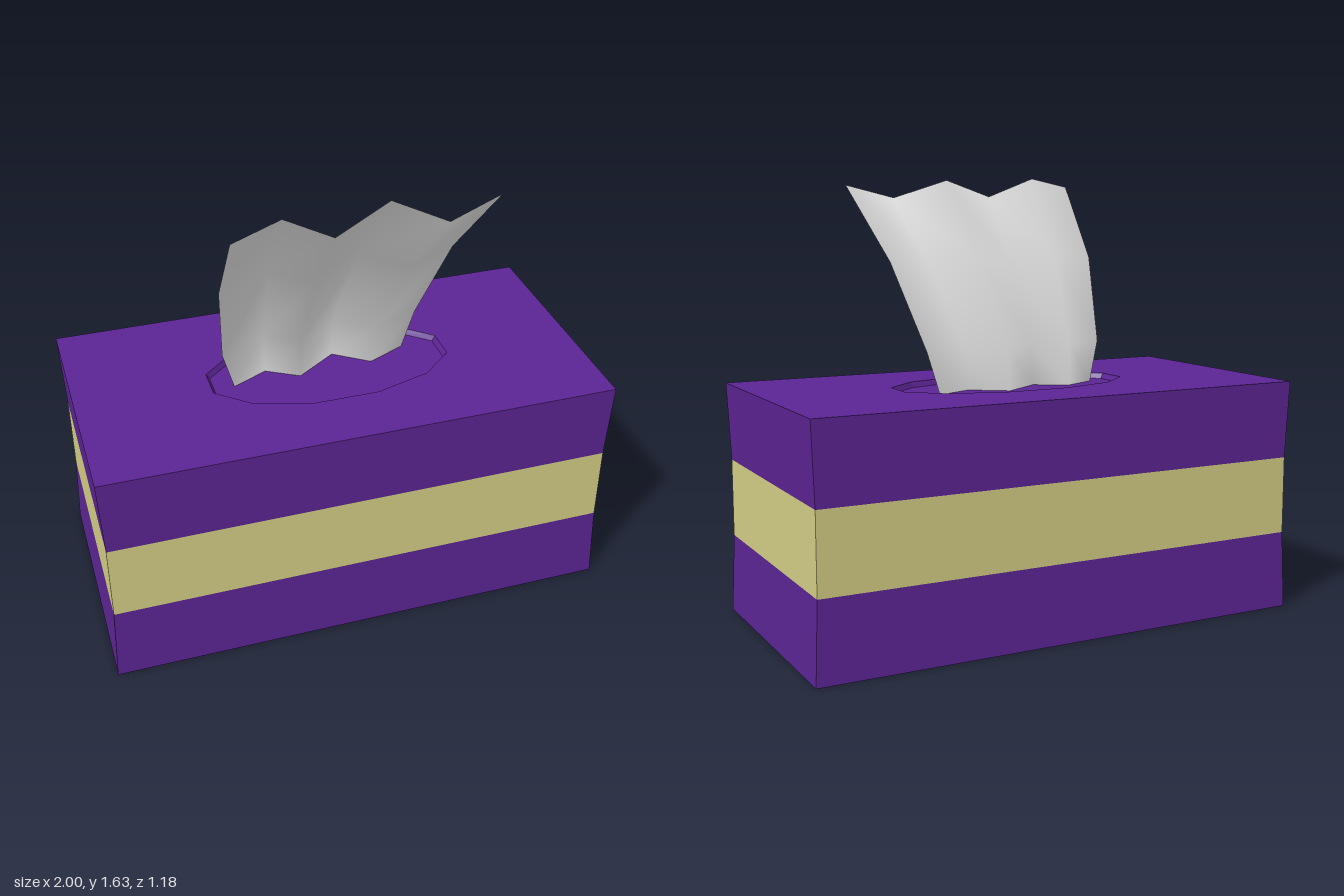
import * as THREE from 'three';

const HEIGHT = 0.875, RECESS = 0.02;

const material = (name, color, side = THREE.FrontSide) =>
  Object.assign(new THREE.MeshStandardMaterial({ color, side }), { name });

// Rings are lists of Vector2 (x, -z), counterclockwise from above
const rect = (hx, hz) => [[-1, -1], [1, -1], [1, 1], [-1, 1]]
  .map(([x, y]) => new THREE.Vector2(x * hx, y * hz));

const oval = (a, b) => Array.from({ length: 12 }, (_, i) => {
  const t = (i + 0.5) * Math.PI / 6;
  return new THREE.Vector2(a * Math.cos(t), b * Math.sin(t));
});

// Flat-shaded wall between two rings at different heights
function wall(ringA, yA, ringB, yB) {
  const pos = [];
  ringA.forEach((a, i) => {
    const j = (i + 1) % ringA.length;
    const p = [a.x, yA, -a.y], q = [ringA[j].x, yA, -ringA[j].y];
    const r = [ringB[j].x, yB, -ringB[j].y], s = [ringB[i].x, yB, -ringB[i].y];
    pos.push(...p, ...q, ...r, ...p, ...r, ...s);
  });
  const geometry = new THREE.BufferGeometry();
  geometry.setAttribute('position', new THREE.Float32BufferAttribute(pos, 3));
  geometry.computeVertexNormals();
  return geometry;
}

// Horizontal face, facing up or down
function cap(ring, y, hole, up = true) {
  const shape = new THREE.Shape(ring);
  if (hole) shape.holes.push(new THREE.Path(hole));
  return new THREE.ShapeGeometry(shape).rotateX(up ? -Math.PI / 2 : Math.PI / 2).translate(0, y, 0);
}

// Pleated sheet: rows of points from the opening up to the free edge
function tissueGeometry() {
  const zigzag = [
    { x: [-0.355, -0.235, -0.11, 0.03, 0.165, 0.3], y: Array(6).fill(0.84), z: [0.06, -0.02, 0.035, -0.09, -0.015, -0.1] },
    { x: [-0.4, -0.24, -0.105, 0.035, 0.185, 0.35], y: Array(6).fill(1.01), z: [0.085, -0.015, 0.04, -0.085, -0.01, -0.093] },
    { x: [-0.41, -0.225, -0.07, 0.105, 0.275, 0.455], y: [1.33, 1.34, 1.31, 1.34, 1.31, 1.33], z: [0.195, 0.1, 0.15, 0.03, 0.1, 0.005] },
    { x: [-0.38, -0.2, -0.03, 0.18, 0.37, 0.575], y: [1.605, 1.635, 1.565, 1.625, 1.56, 1.605], z: [0.365, 0.28, 0.305, 0.19, 0.25, 0.165] },
  ];
  const geometry = new THREE.PlaneGeometry(1, 1, 5, 3);
  const pos = geometry.attributes.position;
  for (let i = 0; i < pos.count; i++) {
    const row = zigzag[3 - Math.floor(i / 6)], c = i % 6;
    pos.setXYZ(i, row.x[c], row.y[c], row.z[c]);
  }
  geometry.computeVertexNormals();
  return geometry;
}

export function createModel() {
  const purple = material('purpleCard', 0x5b2493);
  const cream = material('creamBand', 0xd3cd84);
  const white = material('whiteTissue', 0xe0e0e0, THREE.DoubleSide);

  const model = new THREE.Group();
  model.name = 'tissueBox';
  const box = new THREE.Group();
  box.name = 'box';
  box.rotation.y = 0.124;
  model.add(box);

  const add = (parent, name, geometry, mat) => {
    const mesh = new THREE.Mesh(geometry, mat);
    mesh.name = name;
    parent.add(mesh);
  };

  // Carton with a slightly pinched middle
  const outer = rect(0.948, 0.475), waist = rect(0.936, 0.469);
  const y1 = HEIGHT / 3, y2 = HEIGHT * 2 / 3;
  add(box, 'lowerWalls', wall(outer, 0, waist, y1), purple);
  add(box, 'middleBand', wall(waist, y1, waist, y2), cream);
  add(box, 'upperWalls', wall(waist, y2, outer, HEIGHT), purple);
  add(box, 'bottom', cap(outer, 0, null, false), purple);

  // Top with a shallow oval recess
  const rim = oval(0.468, 0.24), floor = oval(0.455, 0.23);
  add(box, 'top', cap(outer, HEIGHT, rim), purple);
  add(box, 'recessWall', wall(rim, HEIGHT, floor, HEIGHT - RECESS), purple);
  add(box, 'recessFloor', cap(floor, HEIGHT - RECESS), purple);

  add(model, 'tissue', tissueGeometry(), white);
  return model;
}
